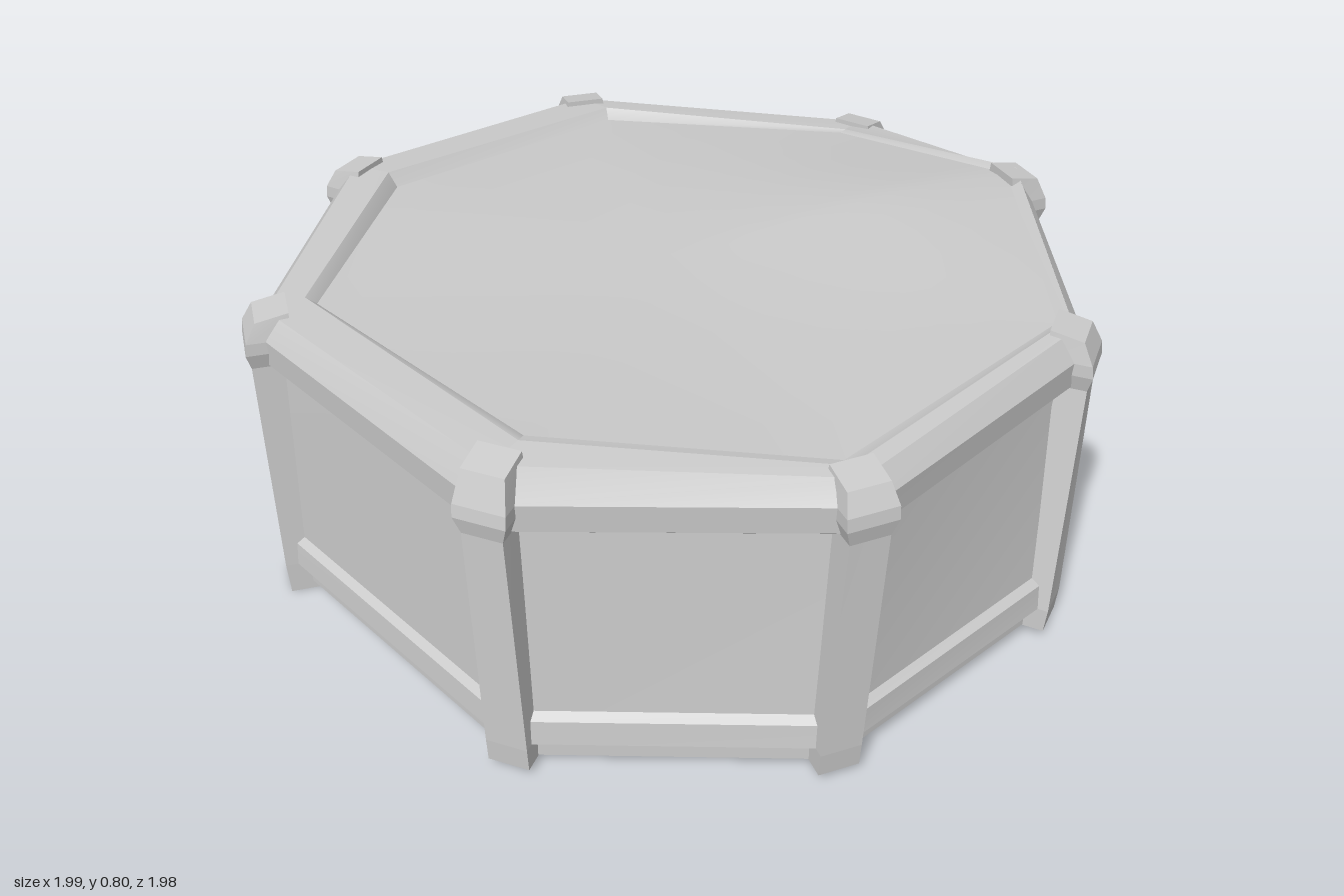
import * as THREE from 'three';
import { mergeVertices } from 'three/addons/utils/BufferGeometryUtils.js';

// Eight uneven corners, counter-clockwise seen from above, starting at the front.
// low / high: foot and head of the post [x, z]; inner: inside corner of the rim;
// top: rim height; drop: how far the cover sits below the rim; foot: underside height
const corners = [
  { low: [-0.03, 0.95], high: [-0.045, 0.955], inner: [-0.02, 0.81], top: 0.785, drop: 0.005, foot: 0.02 },
  { low: [0.63, 0.735], high: [0.65, 0.72], inner: [0.58, 0.65], top: 0.76, drop: 0.005, foot: 0.02 },
  { low: [0.97, 0.115], high: [0.965, 0.035], inner: [0.89, 0.0], top: 0.765, drop: 0.015, foot: 0.02 },
  { low: [0.74, -0.69], high: [0.71, -0.675], inner: [0.66, -0.65], top: 0.77, drop: 0.01, foot: 0.02 },
  { low: [0.225, -0.95], high: [0.225, -0.96], inner: [0.19, -0.83], top: 0.715, drop: 0.0, foot: 0.02 },
  { low: [-0.575, -0.79], high: [-0.54, -0.78], inner: [-0.42, -0.69], top: 0.745, drop: 0.025, foot: 0.02 },
  { low: [-0.98, -0.185], high: [-0.935, -0.175], inner: [-0.78, -0.15], top: 0.755, drop: 0.035, foot: 0.02 },
  { low: [-0.78, 0.55], high: [-0.785, 0.545], inner: [-0.68, 0.44], top: 0.755, drop: 0.02, foot: 0 },
];
const N = corners.length;
const lerp = THREE.MathUtils.lerp;
const railTop = (c) => Math.min(0.71, c.top - 0.05);

const grey = new THREE.MeshStandardMaterial({ color: 0xcccccc, side: THREE.DoubleSide });

// Skin a stack of closed rings; every quad keeps its own corners so edges stay sharp
function loft(rings, capped = false) {
  const points = [];
  const index = [];
  const addFace = (face) => {
    const s = points.length;
    points.push(...face);
    for (let i = 1; i + 1 < face.length; i++) index.push(s, s + i, s + i + 1);
  };
  for (let r = 0; r + 1 < rings.length; r++) {
    rings[r].forEach((p, i) => {
      const j = (i + 1) % rings[r].length;
      addFace([p, rings[r][j], rings[r + 1][j], rings[r + 1][i]]);
    });
  }
  if (capped) {
    addFace([...rings[0]].reverse());
    addFace(rings[rings.length - 1]);
  }
  const geometry = new THREE.BufferGeometry().setFromPoints(points);
  geometry.setIndex(index);
  return geometry;
}

function addMesh(parent, name, geometry) {
  geometry.computeVertexNormals();
  const mesh = new THREE.Mesh(geometry, grey);
  mesh.name = name;
  parent.add(mesh);
}

// Point on the leaning wall at a corner, pulled towards the centre by inset
function wallPoint(c, y, inset) {
  const t = THREE.MathUtils.clamp((y - 0.08) / 0.57, 0, 1);
  const s = 1 - inset;
  return new THREE.Vector3(lerp(c.low[0], c.high[0], t) * s, y, lerp(c.low[1], c.high[1], t) * s);
}
const wallRing = (height, inset) =>
  corners.map((c) => wallPoint(c, typeof height === 'function' ? height(c) : height, inset));
const innerRing = (height, scale = 1) =>
  corners.map((c) => new THREE.Vector3(c.inner[0] * scale, height(c), c.inner[1] * scale));

// Slim post following the lean of its corner, bevelled over onto the rim
function postGeometry(c) {
  const section = (y, outset, width, depth, lift = 0) => {
    const p = wallPoint(c, y, 0);
    const out = new THREE.Vector3(p.x, 0, p.z).normalize();
    const side = new THREE.Vector3(out.z, 0, -out.x);
    return [[-1, 1], [1, 1], [1, 0], [-1, 0]].map(([u, v]) => {
      const q = p.clone().addScaledVector(side, u * width / 2);
      q.addScaledVector(out, v ? outset : outset - depth);
      if (!v) q.y += lift;
      return q;
    });
  };
  const r = railTop(c);
  return loft([
    section(c.foot, 0.005, 0.095, 0.08),
    section(0.08, 0.01, 0.095, 0.09),
    section(r - 0.07, 0.015, 0.09, 0.09),
    section(r - 0.03, 0.024, 0.115, 0.1),
    section(r, 0.02, 0.115, 0.1),
    section(c.top - 0.005, -0.005, 0.095, 0.075, 0.015),
  ], true);
}

// Gently wavy cover: the inner rim outline shrunk ring by ring to the centre
function coverGeometry() {
  const edge = [];
  const steps = 5;
  corners.forEach((c, i) => {
    const d = corners[(i + 1) % N];
    for (let k = 0; k < steps; k++) {
      const t = k / steps;
      edge.push(new THREE.Vector3(
        lerp(c.inner[0], d.inner[0], t),
        lerp(c.top - c.drop, d.top - d.drop, t),
        lerp(c.inner[1], d.inner[1], t)));
    }
  });
  const rings = [];
  for (let k = 0; k <= 8; k++) {
    const s = 1 - k / 8;
    rings.push(edge.map((p) => {
      const x = p.x * s, z = p.z * s;
      const bump = 0.025 * Math.exp(-8 * ((x - 0.42) ** 2 + (z + 0.42) ** 2)) * (1 - s ** 4);
      return new THREE.Vector3(x, lerp(0.752, p.y, s * s) + bump, z);
    }));
  }
  return mergeVertices(loft(rings));
}

export function createModel() {
  const model = new THREE.Group();
  model.name = 'cushionedDrum';

  // Recessed floor and the foot ring around it
  addMesh(model, 'base', loft([
    wallRing(0.05, 1), wallRing(0.05, 0.12), wallRing(0.022, 0.11),
    wallRing(0.022, 0.025), wallRing(0.08, 0.025),
  ]));

  // Lower rail, set-back panels and upper rail
  addMesh(model, 'bottomRail', loft([
    wallRing(0.08, 0.025), wallRing(0.08, -0.005), wallRing(0.14, 0.0), wallRing(0.155, 0.02),
  ]));
  addMesh(model, 'sidePanels', loft([
    wallRing(0.155, 0.02), wallRing((c) => railTop(c) - 0.09, 0.035),
  ]));
  addMesh(model, 'topRail', loft([
    wallRing((c) => railTop(c) - 0.09, 0.035), wallRing((c) => railTop(c) - 0.065, 0.0),
    wallRing(railTop, -0.005),
  ]));

  // Sloping rim with a small step down to the cover
  addMesh(model, 'rim', loft([
    wallRing(railTop, -0.005), wallRing((c) => c.top - 0.005, 0.035),
    innerRing((c) => c.top, 1.03), innerRing((c) => c.top - c.drop),
  ]));
  addMesh(model, 'topCover', coverGeometry());

  // Corner posts
  const posts = new THREE.Group();
  posts.name = 'cornerPosts';
  corners.forEach((c) => addMesh(posts, 'cornerPost', postGeometry(c)));
  model.add(posts);

  return model;
}
